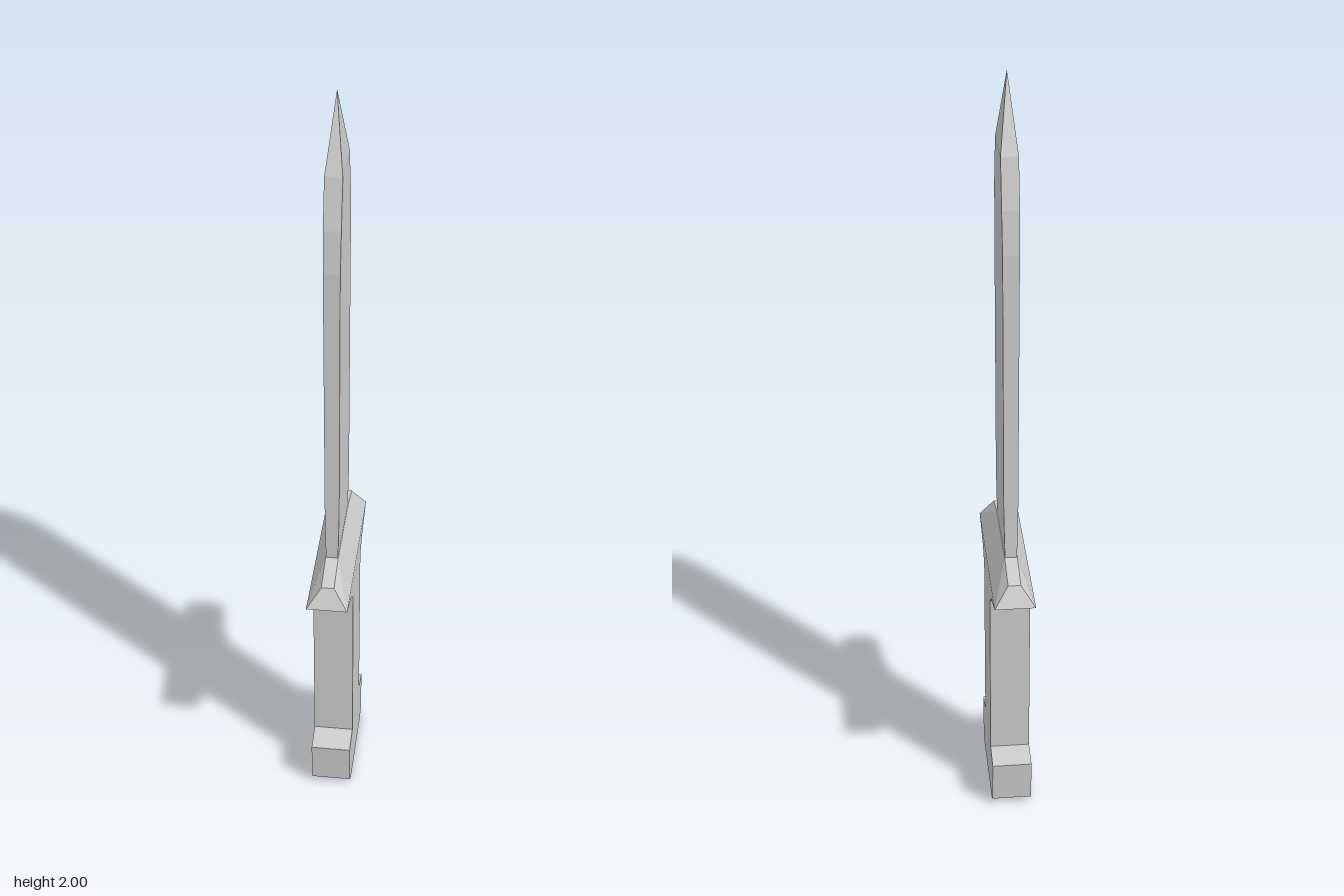
import * as THREE from 'three';
import { ConvexGeometry } from 'three/addons/geometries/ConvexGeometry.js';

const steel = new THREE.MeshStandardMaterial({ color: 0xcccccc });
steel.name = 'grey steel';
steel.flatShading = true;

// Stack of rectangular sections [y, half depth z, half thickness x], closed at both ends
function loft(sections) {
  const rings = sections.map(([y, z, x]) => [[x, y, z], [x, y, -z], [-x, y, -z], [-x, y, z]]);
  const positions = [];
  const quad = (a, b, c, d) => positions.push(...a, ...b, ...c, ...a, ...c, ...d);
  for (let r = 0; r < rings.length - 1; r++) {
    const lower = rings[r], upper = rings[r + 1];
    for (let i = 0; i < 4; i++) {
      const j = (i + 1) % 4;
      quad(lower[i], lower[j], upper[j], upper[i]);
    }
  }
  const top = rings[rings.length - 1];
  quad(...[...rings[0]].reverse());
  quad(...top);
  const geometry = new THREE.BufferGeometry();
  geometry.setAttribute('position', new THREE.Float32BufferAttribute(positions, 3));
  geometry.computeVertexNormals();
  return geometry;
}

export function createModel() {
  const model = new THREE.Group();
  model.name = 'dagger';
  const add = (name, geometry) => {
    const mesh = new THREE.Mesh(geometry, steel);
    mesh.name = name;
    model.add(mesh);
  };
  const T = 0.052; // half thickness of the hilt

  // Pommel, grip and the flared underside of the guard
  add('hilt', loft([
    [0, 0.12, T], [0.02, 0.146, T], [0.137, 0.153, T], [0.15, 0.085, T],
    [0.625, 0.088, T], [0.663, 0.132, T], [0.695, 0.23, T],
  ]));

  // Bevelled upper half of the guard, mirrored in x and z
  const guardPoints = [];
  for (const [x, y, z] of [[T, 0.695, 0.23], [0.016, 0.748, 0.205], [0.016, 0.772, 0.113]]) {
    for (const sx of [-1, 1]) {
      for (const sz of [-1, 1]) guardPoints.push(new THREE.Vector3(x * sx, y, z * sz));
    }
  }
  add('guard', new ConvexGeometry(guardPoints));

  // Blade narrowing to a point
  add('blade', loft([
    [0.765, 0.113, 0.015], [0.9, 0.111, 0.018], [1.595, 0.109, 0.02], [1.7, 0.097, 0.021],
    [1.82, 0.07, 0.021], [2, 0, 0],
  ]));

  return model;
}
